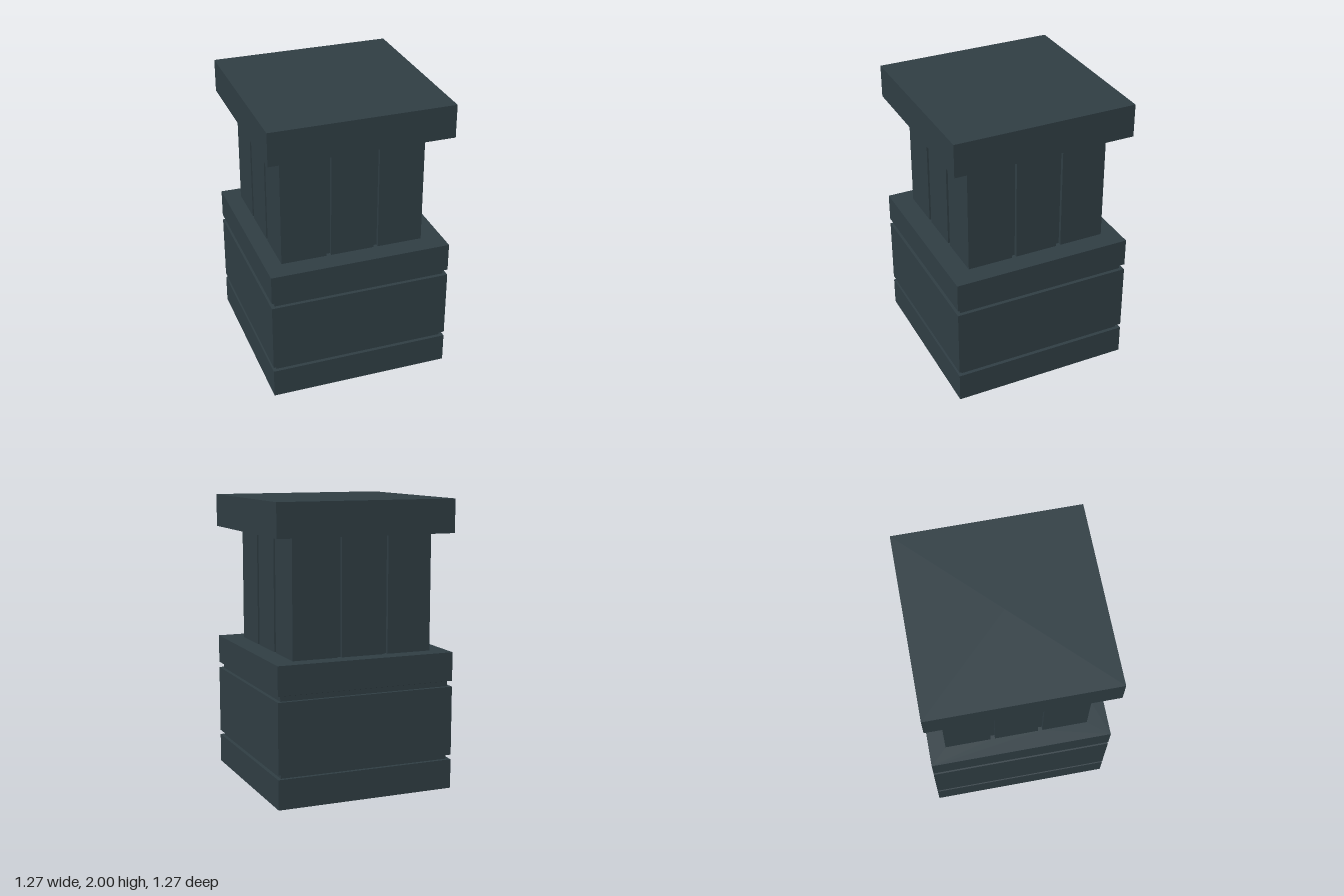
import * as THREE from 'three';

const HALF = 0.634;            // half width of base and cap
const SHAFT = 0.502;           // half width of the shaft
const OFFSET = -0.015;         // shaft sits slightly off centre in x and z
const LEDGE = 0.96, CAP_BOTTOM = 1.77, TOP = 2;

// Square lathe: sweeps a [halfWidth, y] profile round four flat sides
function squareLathe(profile) {
  const points = profile.map(([r, y]) => new THREE.Vector2(r * Math.SQRT2, y));
  const geometry = new THREE.LatheGeometry(points, 4).rotateY(Math.PI / 4).toNonIndexed();
  geometry.computeVertexNormals();
  return geometry;
}

// Shaft outline in plan (x, -z), counter-clockwise, two flutes per side
function shaftOutline() {
  const depth = 0.025, inner = 0.152, outer = 0.184;
  const side = [
    [-SHAFT, 0], [-outer, 0], [-outer, depth], [-inner, depth], [-inner, 0],
    [inner, 0], [inner, depth], [outer, depth], [outer, 0],
  ];
  const points = [];
  for (let i = 0; i < 4; i++) {
    for (const [u, d] of side) {
      const p = new THREE.Vector2(u, d - SHAFT);
      p.rotateAround(new THREE.Vector2(), i * Math.PI / 2);
      points.push(new THREE.Vector2(p.x + OFFSET, p.y - OFFSET));
    }
  }
  return points;
}

// Upright wall following a closed outline
function wall(outline, y0, y1) {
  const positions = [];
  outline.forEach((a, i) => {
    const b = outline[(i + 1) % outline.length];
    const corners = [[a, y0], [b, y0], [b, y1], [a, y0], [b, y1], [a, y1]];
    for (const [p, y] of corners) positions.push(p.x, y, -p.y);
  });
  const geometry = new THREE.BufferGeometry();
  geometry.setAttribute('position', new THREE.Float32BufferAttribute(positions, 3));
  geometry.computeVertexNormals();
  return geometry;
}

// Flat square ring around the shaft, facing up or down
function ring(outline, y, up) {
  const shape = new THREE.Shape([
    new THREE.Vector2(-HALF, -HALF), new THREE.Vector2(HALF, -HALF),
    new THREE.Vector2(HALF, HALF), new THREE.Vector2(-HALF, HALF),
  ]);
  // The downward ring is mirrored in plan so its hole still meets the shaft
  const hole = outline.map((p) => new THREE.Vector2(p.x, up ? p.y : -p.y));
  shape.holes.push(new THREE.Path(hole));
  return new THREE.ShapeGeometry(shape)
    .rotateX(up ? -Math.PI / 2 : Math.PI / 2)
    .translate(0, y, 0);
}

export function createModel() {
  const group = new THREE.Group();
  group.name = 'pedestal';
  const slate = new THREE.MeshStandardMaterial({
    name: 'darkSlate', color: 0x2f3d43, side: THREE.DoubleSide, flatShading: true,
  });
  const add = (name, geometry) => {
    const mesh = new THREE.Mesh(geometry, slate);
    mesh.name = name;
    group.add(mesh);
  };

  // Hollow base, open below, with two horizontal grooves
  const groove = 0.608;
  add('base', squareLathe([
    [HALF, 0], [HALF, 0.205], [groove, 0.205], [groove, 0.238], [HALF, 0.238],
    [HALF, 0.72], [groove, 0.72], [groove, 0.754], [HALF, 0.761], [HALF, LEDGE],
  ]));

  // Fluted shaft between the ledge and the cap
  const outline = shaftOutline();
  add('ledge', ring(outline, LEDGE, true));
  add('shaft', wall(outline, LEDGE, CAP_BOTTOM));

  // Overhanging cap
  add('capUnderside', ring(outline, CAP_BOTTOM, false));
  add('cap', squareLathe([[HALF, CAP_BOTTOM], [HALF, TOP], [0, TOP]]));
  return group;
}
